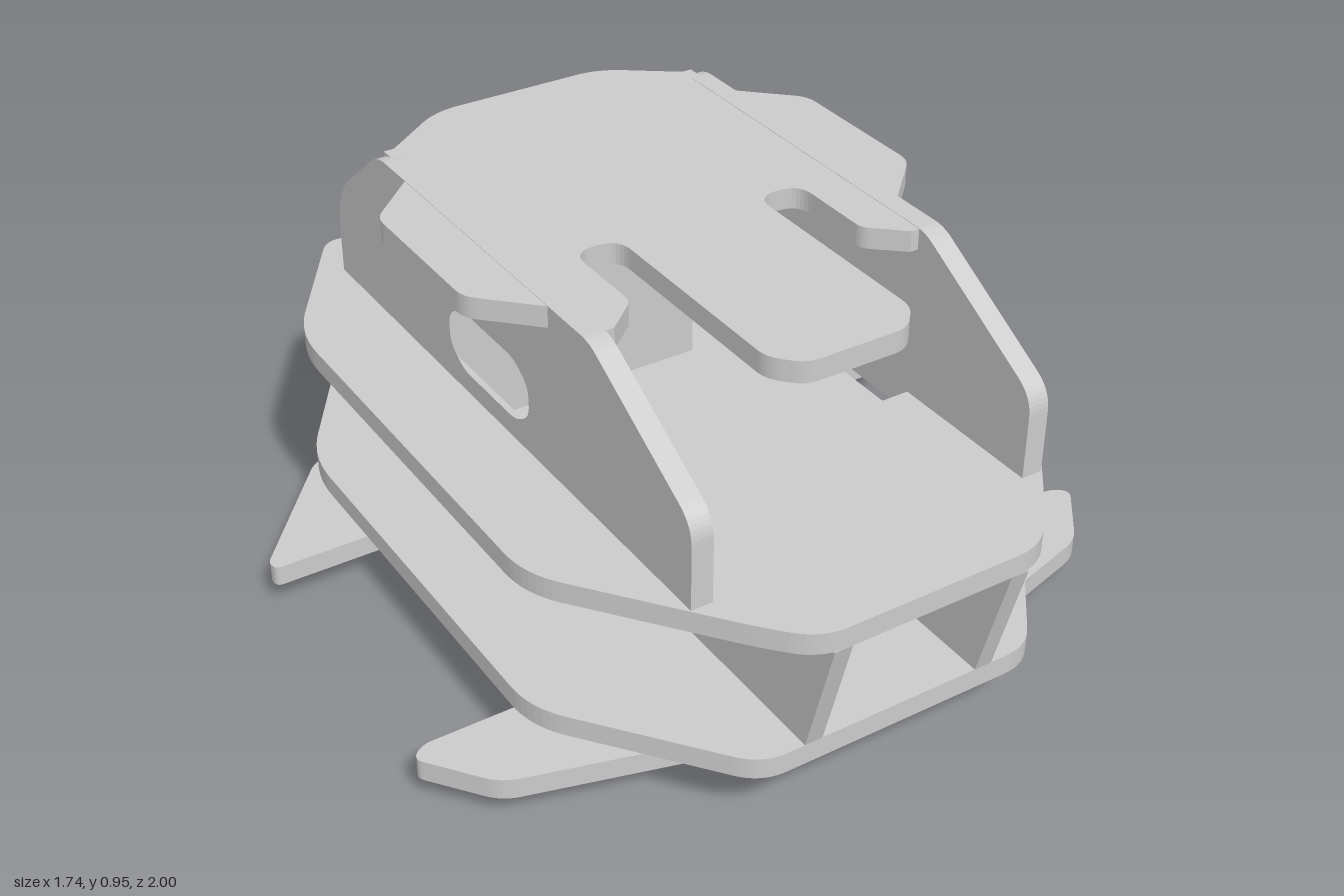
import * as THREE from 'three';

const material = new THREE.MeshStandardMaterial({ color: 0xcccccc });

// Closed outline with rounded corners; points are [x, y, radius]
function trace(path, pts) {
  const v = pts.map(p => new THREE.Vector2(p[0], p[1]));
  const n = v.length;
  for (let i = 0; i < n; i++) {
    const c = v[i], a = v[(i + n - 1) % n], b = v[(i + 1) % n];
    const r = Math.min(pts[i][2] || 0, c.distanceTo(a) * 0.48, c.distanceTo(b) * 0.48);
    const s = c.clone().add(a.clone().sub(c).setLength(r));
    const e = c.clone().add(b.clone().sub(c).setLength(r));
    if (i === 0) path.moveTo(s.x, s.y); else path.lineTo(s.x, s.y);
    if (r > 0) path.quadraticCurveTo(c.x, c.y, e.x, e.y);
  }
  path.closePath();
  return path;
}

// Completes a half outline [x, z, r] with its mirror image
function mirror(half) {
  return [...half, ...half.slice().reverse().map(([x, z, r]) => [-x, z, r])];
}

function extrude(outline, holes, depth) {
  const shape = trace(new THREE.Shape(), outline);
  for (const h of holes) shape.holes.push(trace(new THREE.Path(), h));
  return new THREE.ExtrudeGeometry(shape, { depth, bevelEnabled: false, curveSegments: 8 });
}

// Horizontal plate from an [x, z, r] outline
function flatPlate(outline, y, thickness, holes = []) {
  const flip = o => o.map(([x, z, r]) => [x, -z, r]);
  return extrude(flip(outline), holes.map(flip), thickness).rotateX(-Math.PI / 2).translate(0, y, 0);
}

// Upright plate from a [z, y, r] outline, centred on x
function uprightPlate(outline, x, thickness, holes = []) {
  const flip = o => o.map(([z, y, r]) => [-z, y, r]);
  return extrude(flip(outline), holes.map(flip), thickness)
    .rotateY(Math.PI / 2).translate(x - thickness / 2, 0, 0);
}

export function createModel() {
  const model = new THREE.Group();
  model.name = 'layeredChassis';
  const add = (name, geometry) => {
    const mesh = new THREE.Mesh(geometry, material);
    mesh.name = name;
    model.add(mesh);
    return mesh;
  };
  const box = (name, x0, x1, y0, y1, z0, z1) =>
    add(name, new THREE.BoxGeometry(x1 - x0, y1 - y0, z1 - z0)
      .translate((x0 + x1) / 2, (y0 + y1) / 2, (z0 + z1) / 2));

  // Main decks
  const deckRear = [[0.65, 0.53, 0.08], [0.65, -0.53, 0.1], [0.405, -0.91, 0.06], [0.11, -0.76, 0.03]];
  const opening = mirror([[0.29, 0.02, 0.02], [0.29, 0.41, 0.03], [0.385, 0.41, 0],
    [0.385, -0.45, 0.04]]);
  add('upperDeck', flatPlate(mirror([[0.27, 1, 0.12], [0.36, 0.9, 0.05], ...deckRear]), 0.49, 0.05, [opening]));
  add('lowerDeck', flatPlate(mirror([[0.34, 0.92, 0.06], ...deckRear]), 0.145, 0.05));

  // Top plate with side tabs, two slots and a front tongue
  add('topPlate', flatPlate(mirror([
    [0.12, 0.715, 0.03], [0.175, 0.655, 0.03], [0.175, 0.11, 0.06], [0.285, 0.11, 0.06],
    [0.285, 0.34, 0.02], [0.365, 0.41, 0], [0.41, 0.41, 0], [0.41, 0.28, 0], [0.435, 0.27, 0],
    [0.56, 0.145, 0.03], [0.56, -0.24, 0.03], [0.435, -0.36, 0], [0.41, -0.36, 0],
    [0.41, -0.515, 0], [0.385, -0.515, 0], [0.22, -0.635, 0.06],
  ]), 0.899, 0.05));

  // Pieces repeated on both sides
  const sideOutline = [[0.8, 0.54, 0], [0.8, 0.74, 0.05], [0.43, 0.95, 0.03], [-0.5, 0.95, 0.04],
    [-0.745, 0.755, 0.12], [-0.745, 0.54, 0]];
  const window_ = [[0.175, 0.63, 0.03], [0.175, 0.705, 0.03], [0.115, 0.745, 0.03], [-0.12, 0.745, 0.03],
    [-0.18, 0.705, 0.03], [-0.18, 0.63, 0.03], [-0.12, 0.59, 0.03], [0.115, 0.59, 0.03]];
  const lugRadius = 0.1375, lugY = 0.3325, lugZ = -0.8625;
  for (const s of [-1, 1]) {
    const side = s > 0 ? 'left' : 'right';
    add(side + 'SidePlate', uprightPlate(sideOutline, s * 0.41, 0.05, [window_]));
    add(side + 'DeckRib', uprightPlate(
      [[0.04, 0.195], [0.92, 0.195], [1, 0.49], [0.04, 0.49]], s * 0.217, 0.043));

    // Rear lug with a round end
    const lug = new THREE.Shape();
    lug.moveTo(0.5, lugY - lugRadius);
    lug.lineTo(-lugZ, lugY - lugRadius);
    lug.absarc(-lugZ, lugY, lugRadius, -Math.PI / 2, Math.PI / 2, false);
    lug.lineTo(0.5, lugY + lugRadius);
    lug.closePath();
    add(side + 'RearLug', new THREE.ExtrudeGeometry(lug, { depth: 0.07, bevelEnabled: false, curveSegments: 24 })
      .rotateY(Math.PI / 2).translate(s * 0.14 - 0.035, 0, 0));

    // Spacers holding the wings under the lower deck
    for (const [end, z] of [['Front', 0.565], ['Rear', -0.525]]) {
      box(side + end + 'Spacer', s * 0.285 - 0.075, s * 0.285 + 0.075, 0.1, 0.15, z - 0.025, z + 0.025);
    }
  }
  box('crossPlate', -0.38, 0.38, 0.195, 0.49, -0.5, -0.45);
  add('lugPin', new THREE.CylinderGeometry(0.04, 0.04, 0.22, 24)
    .rotateZ(Math.PI / 2).translate(0, lugY, -0.87));

  // Wings under the body
  add('frontWing', flatPlate(mirror([
    [0.35, 0.72, 0.03], [0.76, 0.605, 0.04], [0.88, 0.45, 0.03], [0.845, 0.42, 0.03],
    [0.34, 0.42, 0.02], [0.28, 0.385, 0.02],
  ]), 0.055, 0.05));
  add('rearWing', flatPlate(mirror([
    [0.28, -0.34, 0.02], [0.36, -0.285, 0.02], [0.86, -0.285, 0.04], [0.865, -0.315, 0.02],
    [0.61, -0.625, 0.03], [0.5, -0.66, 0.03], [0.3, -0.65, 0.02], [0.23, -0.6, 0.02],
  ]), 0.055, 0.05));

  // Domed skids
  const profile = [[0, 0], [0.06, 0], [0.08, 0.005], [0.093, 0.016], [0.1, 0.034], [0.1, 0.056]]
    .map(p => new THREE.Vector2(...p));
  for (const [name, z] of [['frontSkid', 0.52], ['rearSkid', -0.468]]) {
    add(name, new THREE.LatheGeometry(profile, 32)).position.z = z;
  }
  return model;
}
